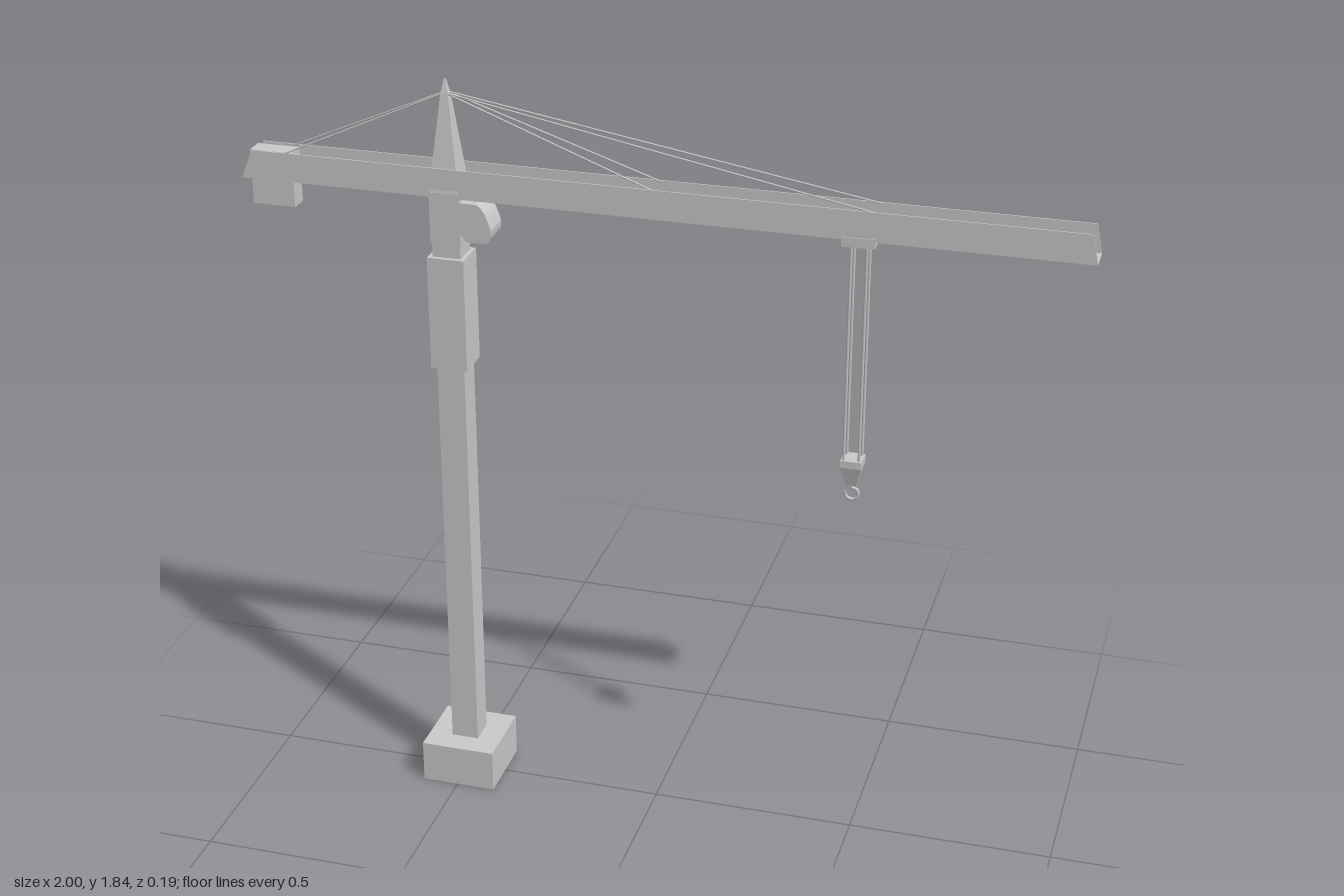
import * as THREE from 'three';

const steel = new THREE.MeshStandardMaterial({ color: 0xcccccc, side: THREE.DoubleSide });
const MAST_X = -0.497, HOOK_X = 0.473;

export function createModel() {
  const crane = new THREE.Group();
  crane.name = 'towerCrane';

  const add = (name, geometry, x = 0, y = 0, z = 0) => {
    const mesh = new THREE.Mesh(geometry, steel);
    mesh.name = name;
    mesh.position.set(x, y, z);
    crane.add(mesh);
    return mesh;
  };
  // Box given by its bottom and top heights
  const block = (name, x, y0, y1, w, d) =>
    add(name, new THREE.BoxGeometry(w, y1 - y0, d), x, (y0 + y1) / 2);
  // Square frustum: half widths at top and bottom
  const frustum = (name, x, y0, y1, top, bottom) => {
    const g = new THREE.CylinderGeometry(top * Math.SQRT2, bottom * Math.SQRT2, y1 - y0, 4)
      .rotateY(Math.PI / 4).toNonIndexed();
    g.computeVertexNormals();
    return add(name, g, x, (y0 + y1) / 2);
  };
  // Round bar between two points
  const bar = (name, from, to, radius) => {
    const a = new THREE.Vector3(...from), b = new THREE.Vector3(...to);
    const mesh = add(name, new THREE.CylinderGeometry(radius, radius, a.distanceTo(b), 6));
    mesh.position.copy(a).lerp(b, 0.5);
    mesh.quaternion.setFromUnitVectors(new THREE.Vector3(0, 1, 0), b.sub(a).normalize());
  };

  // Tower
  block('base', MAST_X, 0, 0.107, 0.186, 0.186);
  block('mast', MAST_X, 0.107, 1.46, 0.068, 0.068);
  block('climbingSleeve', MAST_X, 1.14, 1.42, 0.09, 0.09);
  block('slewingHead', MAST_X, 1.455, 1.58, 0.074, 0.074);
  frustum('towerPeak', MAST_X, 1.57, 1.81, 0.009, 0.037);
  frustum('peakTip', MAST_X, 1.81, 1.842, 0.002, 0.009);

  // Operator cab with a rounded nose
  const cab = new THREE.Shape();
  cab.moveTo(-0.463, 1.56);
  cab.lineTo(-0.42, 1.56);
  cab.quadraticCurveTo(-0.4, 1.555, -0.385, 1.5);
  cab.quadraticCurveTo(-0.383, 1.466, -0.405, 1.466);
  cab.lineTo(-0.445, 1.466);
  cab.lineTo(-0.463, 1.485);
  add('cab', new THREE.ExtrudeGeometry(cab, { depth: 0.074, bevelEnabled: false, curveSegments: 6 })
    .translate(0, 0, -0.037));

  // Jib: open-topped channel running along x, with slanted ends
  const w = 0.035, h = 0.07, t = 0.003;
  const channel = new THREE.Shape([
    [-w, 0], [w, 0], [w, h], [w - t, h], [w - t, t], [-w + t, t], [-w + t, h], [-w, h],
  ].map(p => new THREE.Vector2(...p)));
  const jib = new THREE.ExtrudeGeometry(channel, { depth: 2, bevelEnabled: false })
    .rotateY(Math.PI / 2).translate(-1, 0, 0);
  const pos = jib.attributes.position;
  for (let i = 0; i < pos.count; i++) {
    const x = pos.getX(i), y = pos.getY(i);
    pos.setX(i, x - (y / h) * (x > 0 ? 0.014 : -0.03));
  }
  jib.computeVertexNormals();
  add('jib', jib, 0, 1.568, 0);
  block('counterweight', -0.927, 1.502, 1.635, 0.105, 0.046);

  // Stay cables in mirrored pairs
  for (const side of [-1, 1]) {
    for (const x of [-0.89, 0, 0.51]) {
      bar('stayCable', [MAST_X, 1.812, side * 0.006], [x, 1.636, side * 0.032], 0.002);
    }
  }

  // Trolley, hoist ropes and hook block
  block('trolley', HOOK_X, 1.552, 1.575, 0.076, 0.074);
  for (const sx of [-1, 1]) {
    for (const sz of [-1, 1]) {
      bar('hoistRope', [HOOK_X + sx * 0.018, 1.0, sz * 0.018],
        [HOOK_X + sx * 0.018, 1.555, sz * 0.018], 0.0035);
    }
  }
  block('hookBlockTop', HOOK_X, 1.0, 1.018, 0.05, 0.05);
  frustum('hookBlock', HOOK_X, 0.95, 1.0, 0.025, 0.012);

  // Hook: shank flowing into an open curve
  const points = [[0, 0.955], [0, 0.941], [0.012, 0.936], [0.016, 0.924],
    [0.008, 0.912], [-0.005, 0.911], [-0.014, 0.919], [-0.015, 0.929]];
  const path = new THREE.CatmullRomCurve3(points.map(([x, y]) => new THREE.Vector3(x, y, 0)));
  add('hook', new THREE.TubeGeometry(path, 24, 0.004, 6), HOOK_X);

  return crane;
}
